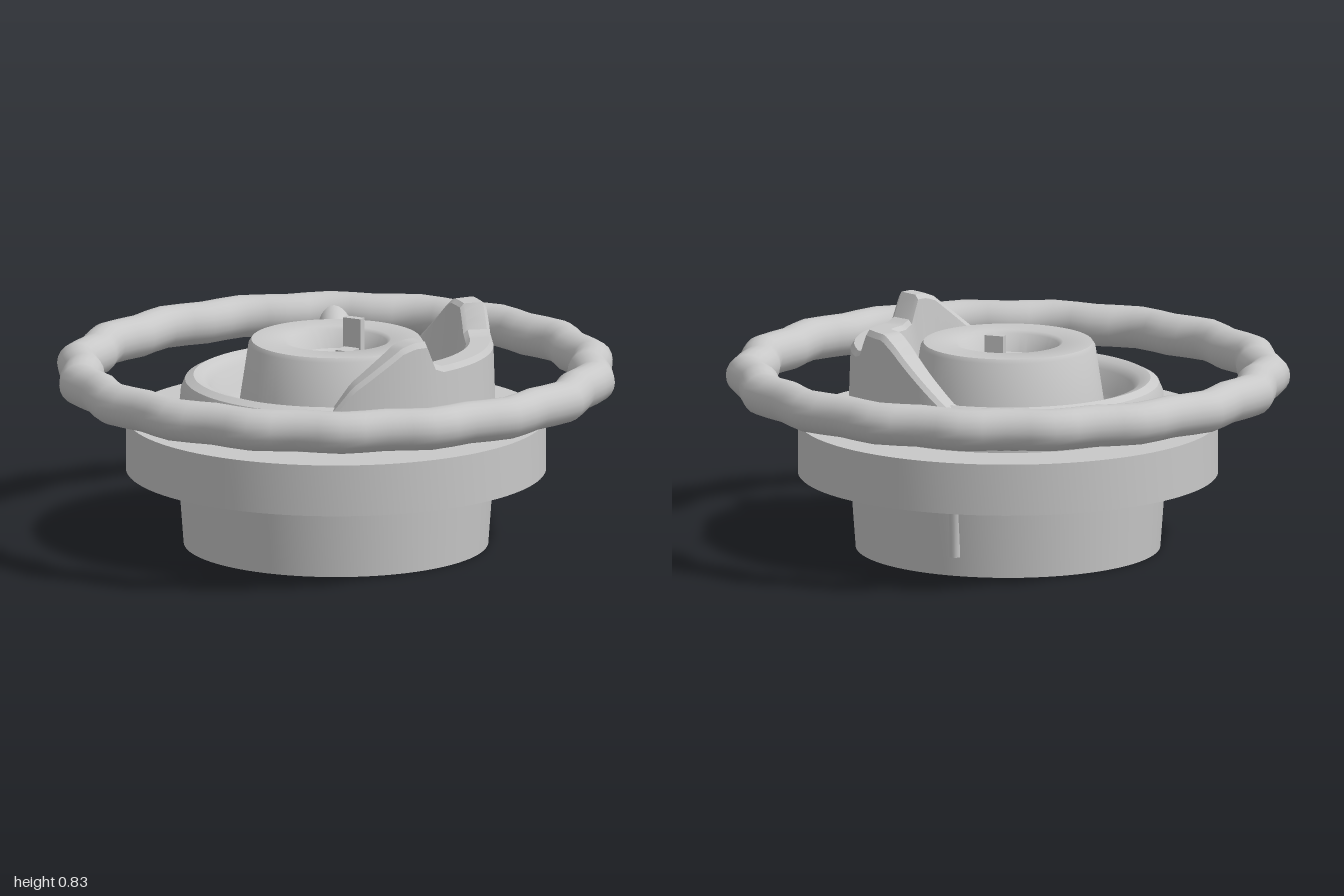
import * as THREE from 'three';
import { toCreasedNormals } from 'three/addons/utils/BufferGeometryUtils.js';

const metal = new THREE.MeshStandardMaterial({ color: 0xc8c8c8 });
metal.name = 'grey metal';

function part(name, geometry, parent) {
  const mesh = new THREE.Mesh(geometry, metal);
  mesh.name = name;
  parent.add(mesh);
  return mesh;
}

// Scalloped hand ring: a torus whose centre line waves in and out
function ringGeometry() {
  const g = new THREE.TorusGeometry(0.91, 0.075, 20, 72);
  g.rotateX(Math.PI / 2);
  const p = g.attributes.position;
  for (let i = 0; i < p.count; i++) {
    const x = p.getX(i), z = p.getZ(i);
    const a = Math.atan2(z, x), r = Math.hypot(x, z) + 0.015 * Math.cos(18 * a);
    p.setXYZ(i, r * Math.cos(a), p.getY(i) + 0.617, r * Math.sin(a));
  }
  return toCreasedNormals(g, 1.0);
}

// Height of the cam top at an angle in degrees, interpolated between keys
const CAM = [[-66, 0.56], [-55, 0.69], [-45, 0.76], [-36, 0.82], [-31, 0.835], [-26, 0.835],
  [-22, 0.75], [-18, 0.735], [35, 0.735], [40, 0.75], [46, 0.835], [57, 0.835], [63, 0.8], [73, 0.72], [90, 0.58]];
function camHeight(a) {
  let i = 1;
  while (i < CAM.length - 1 && a > CAM[i][0]) i++;
  const [a0, h0] = CAM[i - 1], [a1, h1] = CAM[i];
  return h0 + (h1 - h0) * (a - a0) / (a1 - a0);
}

// Cam: a rounded wall cross-section swept round the rim
function camGeometry() {
  const pos = [], index = [], steps = 78, n = 7;
  for (let s = 0; s <= steps; s++) {
    const deg = -66 + s * 2, a = THREE.MathUtils.degToRad(deg), h = camHeight(deg);
    const section = [[0.565, 0.5], [0.558, h - 0.02], [0.545, h], [0.475, h],
      [0.46, h - 0.015], [0.435, Math.min(h - 0.02, 0.6)], [0.42, 0.48]];
    for (const [r, y] of section) pos.push(r * Math.cos(a), y, -r * Math.sin(a));
  }
  for (let s = 0; s < steps; s++) {
    for (let k = 0; k < n; k++) {
      const a = s * n + k, b = s * n + (k + 1) % n, c = a + n, d = b + n;
      index.push(a, c, b, b, c, d);
    }
  }
  const last = steps * n;
  for (let k = 1; k < n - 1; k++) index.push(0, k, k + 1, last, last + k + 1, last + k);
  const g = new THREE.BufferGeometry();
  g.setAttribute('position', new THREE.Float32BufferAttribute(pos, 3));
  g.setIndex(index);
  return toCreasedNormals(g, 0.5);
}

export function createModel() {
  const model = new THREE.Group();
  model.name = 'handwheelCap';

  // Turned body: boss, hollow skirt, flange, lip, rim, groove, hub and bore
  const profile = [[0.13, 0.06], [0.21, 0.06], [0.22, 0.2], [0.5, 0.2], [0.515, 0], [0.54, 0],
    [0.56, 0.27], [0.745, 0.27], [0.745, 0.455], [0.55, 0.455], [0.55, 0.463], [0.57, 0.468], [0.572, 0.49],
    [0.555, 0.5], [0.55, 0.56], [0.535, 0.595], [0.505, 0.61], [0.47, 0.6], [0.445, 0.575],
    [0.42, 0.5], [0.4, 0.47], [0.35, 0.46], [0.31, 0.725], [0.3, 0.74], [0.195, 0.74], [0.18, 0.73],
    [0.15, 0.67], [0.085, 0.64], [0.085, 0.11], [0.13, 0.06]].map(([r, y]) => new THREE.Vector2(r, y));
  part('body', toCreasedNormals(new THREE.LatheGeometry(profile, 96), 0.6), model);

  part('cam', camGeometry(), model);
  part('handRing', ringGeometry(), model);

  // Single sloping spoke from the ring into the hub
  const from = new THREE.Vector3(-0.16, 0.5, -0.31), to = new THREE.Vector3(-0.44, 0.61, -0.79);
  const dir = to.clone().sub(from);
  const spoke = part('spoke', new THREE.CylinderGeometry(0.055, 0.06, dir.length(), 24), model);
  spoke.position.copy(from).add(to).multiplyScalar(0.5);
  spoke.quaternion.setFromUnitVectors(new THREE.Vector3(0, 1, 0), dir.normalize());

  // Key: upright tab and its foot at the back of the bore
  const tab = part('keyTab', new THREE.BoxGeometry(0.07, 0.15, 0.03), model);
  tab.position.set(0, 0.715, -0.13);
  const foot = part('keyFoot', new THREE.BoxGeometry(0.06, 0.05, 0.1), model);
  foot.position.set(0, 0.66, -0.1);

  // Small upright rib at the back of the skirt
  const rib = part('skirtRib', new THREE.CylinderGeometry(0.025, 0.02, 0.2, 16), model);
  rib.position.set(0, 0.17, -0.54);
  return model;
}
